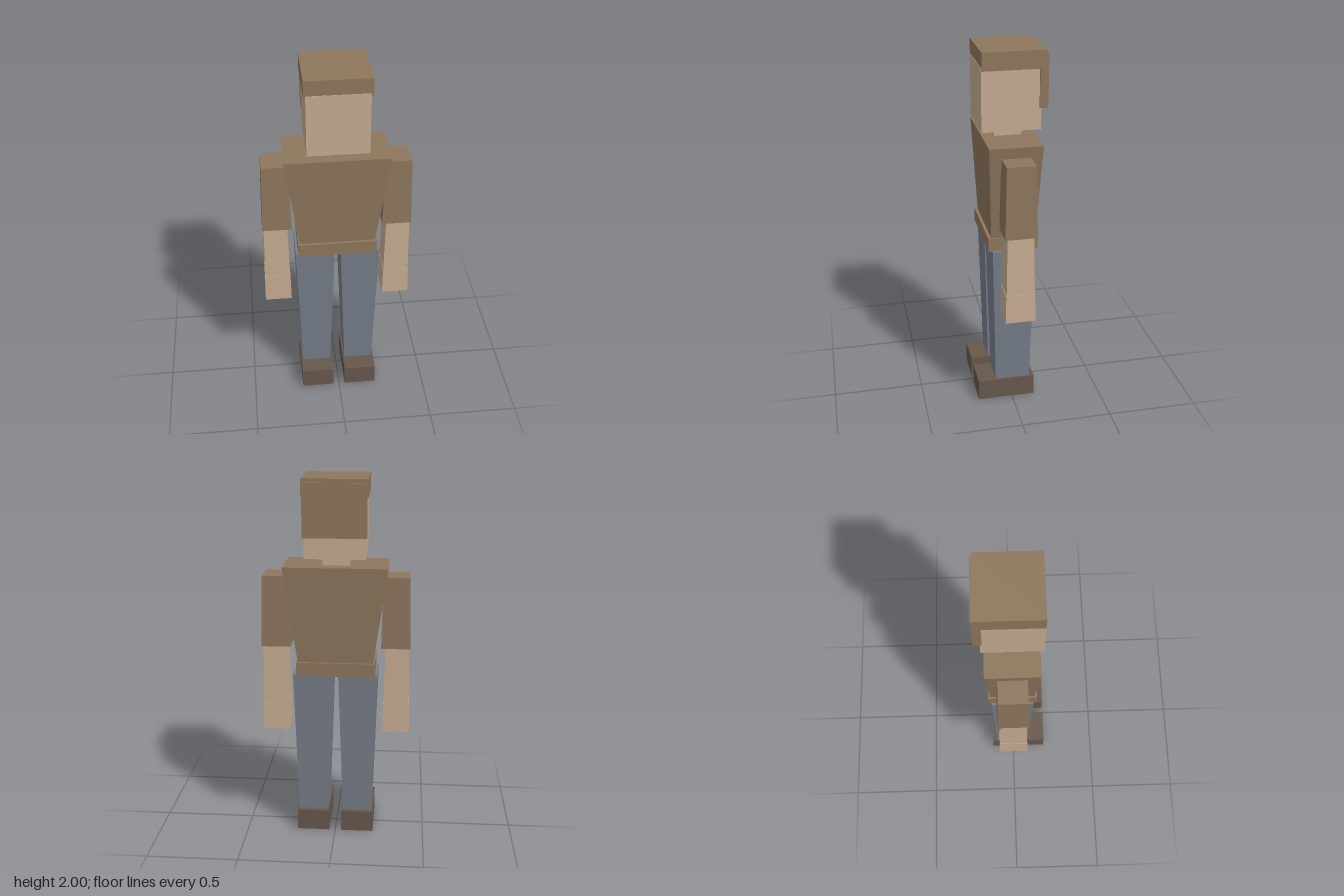
import * as THREE from 'three';

const material = (name, color) => {
  const m = new THREE.MeshStandardMaterial({ color });
  m.name = name;
  return m;
};

// Box running from y0 to y1 whose bottom and top outlines are [x0, x1, z0, z1].
function block(name, mat, y0, y1, bottom, top = bottom) {
  const geometry = new THREE.BoxGeometry(1, 1, 1);
  const p = geometry.attributes.position;
  for (let i = 0; i < p.count; i++) {
    const upper = p.getY(i) > 0;
    const [x0, x1, z0, z1] = upper ? top : bottom;
    p.setXYZ(i, p.getX(i) < 0 ? x0 : x1, upper ? y1 : y0, p.getZ(i) < 0 ? z0 : z1);
  }
  geometry.computeVertexNormals();
  const mesh = new THREE.Mesh(geometry, mat);
  mesh.name = name;
  return mesh;
}

// Mirrors an outline across x = 0.
const flip = ([x0, x1, z0, z1]) => [-x1, -x0, z0, z1];

export function createModel() {
  const skin = material('skin', 0xc6ac92);
  const brown = material('brown hair and shirt', 0x8e775d);
  const denim = material('grey blue trousers', 0x767d89);
  const leather = material('dark brown shoes', 0x67574c);

  const model = new THREE.Group();
  model.name = 'blockFigure';

  // Head, neck and hair
  const head = new THREE.Group();
  head.name = 'headGroup';
  head.add(
    block('neck', skin, 1.5, 1.6, [-0.073, 0.071, -0.077, 0.07]),
    block('head', skin, 1.585, 1.92, [-0.163, 0.16, -0.16, 0.152]),
    block('hairTop', brown, 1.905, 2, [-0.173, 0.171, -0.184, 0.15]),
    block('hairBack', brown, 1.7, 1.98, [-0.168, 0.166, -0.195, -0.15]),
  );

  // Shirt with its hem
  const shirt = new THREE.Group();
  shirt.name = 'shirt';
  shirt.add(
    block('torso', brown, 1.0, 1.535, [-0.204, 0.202, -0.125, 0.113], [-0.281, 0.279, -0.147, 0.135]),
    block('hem', brown, 0.935, 1.01, [-0.216, 0.212, -0.138, 0.13]),
  );
  model.add(head, shirt);

  // Arms and legs, outlines given for the left side
  for (const side of ['left', 'right']) {
    const o = (...outline) => (side === 'left' ? outline : flip(outline));
    const arm = new THREE.Group();
    arm.name = side + 'Arm';
    arm.add(
      block('sleeve', brown, 1.085, 1.475, o(0.246, 0.405, -0.092, 0.078), o(0.256, 0.395, -0.083, 0.069)),
      block('forearm', skin, 0.74, 1.1, o(0.263, 0.403, -0.081, 0.071), o(0.27, 0.398, -0.075, 0.065)),
      block('hand', skin, 0.6, 0.76, o(0.26, 0.408, -0.086, 0.077), o(0.262, 0.405, -0.082, 0.073)),
    );
    const leg = new THREE.Group();
    leg.name = side + 'Leg';
    leg.add(
      block('trouserLeg', denim, 0.11, 0.937, o(0.043, 0.205, -0.102, 0.092), o(0.016, 0.231, -0.12, 0.11)),
      block('shoe', leather, 0, 0.12, o(0.034, 0.215, -0.128, 0.193)),
    );
    model.add(arm, leg);
  }
  return model;
}
